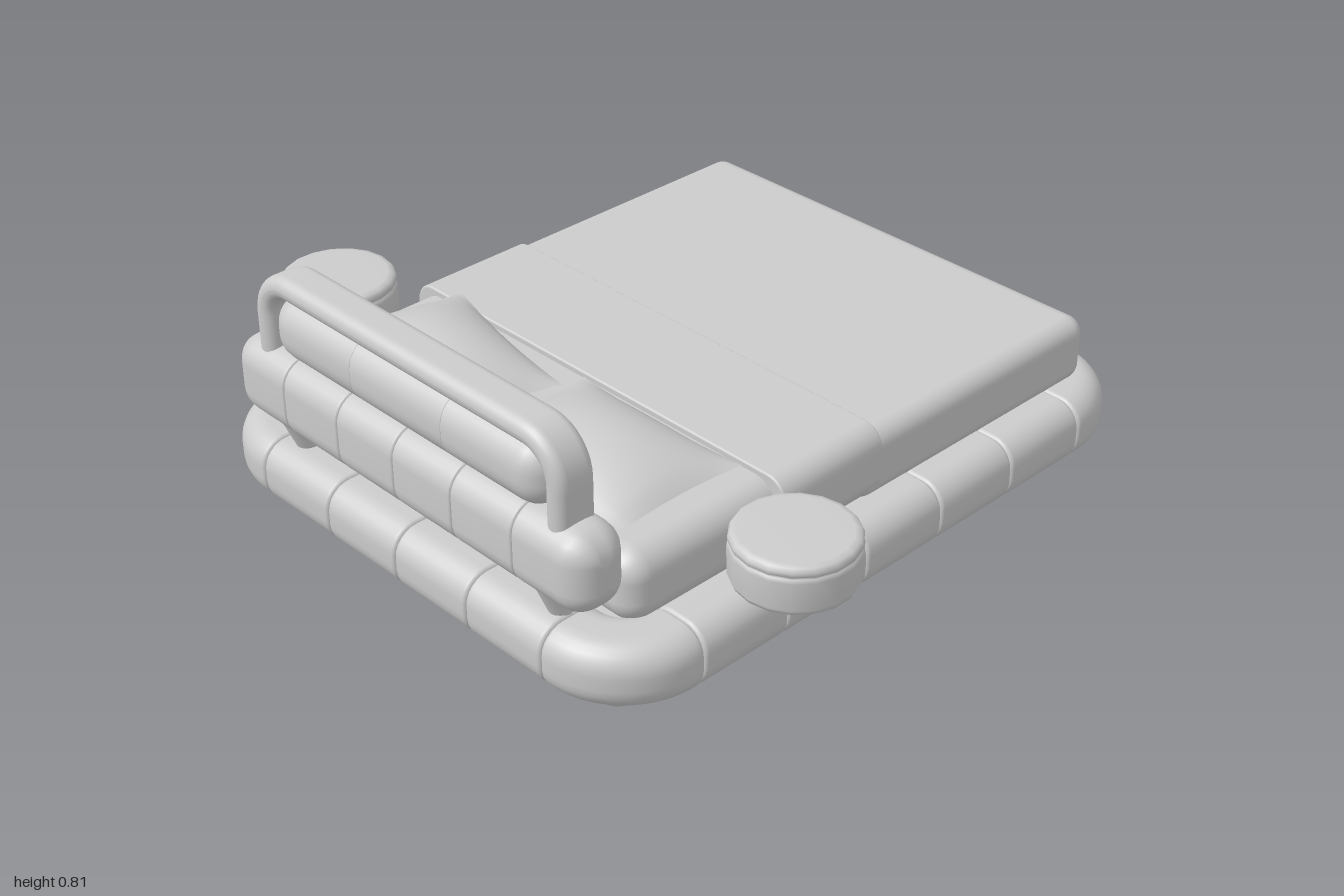
import * as THREE from 'three';
import { mergeGeometries } from 'three/addons/utils/BufferGeometryUtils.js';
import { RoundedBoxGeometry } from 'three/addons/geometries/RoundedBoxGeometry.js';

const V = (x, y, z) => new THREE.Vector3(x, y, z);
const UP = V(0, 1, 0), FORWARD = V(0, 0, 1);

// Points of a rounded rectangle, counter-clockwise
function roundedProfile(hw, hh, r) {
  const pts = [], n = 6;
  [[1, 1], [-1, 1], [-1, -1], [1, -1]].forEach(([sx, sy], q) => {
    for (let i = 0; i <= n; i++) {
      const a = (q + i / n) * Math.PI / 2;
      pts.push([sx * (hw - r) + r * Math.cos(a), sy * (hh - r) + r * Math.sin(a)]);
    }
  });
  return pts;
}

// Rounded section swept along a flat curve; both ends are rounded off by endA and endB
function paddedTube(curve, normal, hw, hh, r, endA, endB, steps = 2) {
  const len = curve.getLength(), rings = [], n = 6;
  for (let i = 0; i <= n; i++) {
    const a = i / n * Math.PI / 2;
    rings.push([endA * (1 - Math.cos(a)), endA * (1 - Math.sin(a))]);
  }
  for (let i = 1; i < steps; i++) rings.push([endA + (len - endA - endB) * i / steps, 0]);
  for (let i = n; i >= 0; i--) {
    const a = i / n * Math.PI / 2;
    rings.push([len - endB * (1 - Math.cos(a)), endB * (1 - Math.sin(a))]);
  }
  const pos = [], idx = [];
  let m = 0;
  for (const [d, inset] of rings) {
    const t = d / len, p = curve.getPoint(t), side = V().crossVectors(normal, curve.getTangent(t)).normalize();
    const prof = roundedProfile(hw - inset, hh - inset, Math.max(r - inset, 0.002));
    m = prof.length;
    for (const [a, b] of prof) pos.push(...p.clone().addScaledVector(side, a).addScaledVector(normal, b).toArray());
  }
  for (let i = 0; i < rings.length - 1; i++) for (let j = 0; j < m; j++) {
    const a = i * m + j, b = i * m + (j + 1) % m;
    idx.push(a, b, a + m, b, b + m, a + m);
  }
  const last = (rings.length - 1) * m, c0 = pos.length / 3;
  pos.push(...curve.getPoint(0).toArray(), ...curve.getPoint(1).toArray());
  for (let j = 0; j < m; j++) {
    const k = (j + 1) % m;
    idx.push(c0, k, j, c0 + 1, last + j, last + k);
  }
  const g = new THREE.BufferGeometry();
  g.setAttribute('position', new THREE.Float32BufferAttribute(pos, 3));
  g.setIndex(idx);
  g.computeVertexNormals();
  return g;
}

// Straight lines joined by rounded corners
function bentPath(pts, radius) {
  const path = new THREE.CurvePath();
  let from = pts[0];
  for (let i = 1; i < pts.length - 1; i++) {
    const p = pts[i];
    const a = p.clone().add(pts[i - 1].clone().sub(p).setLength(radius));
    const b = p.clone().add(pts[i + 1].clone().sub(p).setLength(radius));
    const k = 0.55;
    path.add(new THREE.LineCurve3(from, a));
    path.add(new THREE.CubicBezierCurve3(a, a.clone().lerp(p, k), b.clone().lerp(p, k), b));
    from = b;
  }
  path.add(new THREE.LineCurve3(from, pts[pts.length - 1]));
  return path;
}

// Soft pillow over four plan corners [x, z]: back-left, back-right, front-left, front-right
function pillowGeometry(c, y, top, bottom) {
  const sheets = [1, -1].map((s) => {
    const g = new THREE.PlaneGeometry(2, 2, 20, 20).rotateX(-s * Math.PI / 2);
    const p = g.attributes.position;
    for (let i = 0; i < p.count; i++) {
      const u0 = p.getX(i), v0 = p.getZ(i);
      const puff = Math.pow(Math.max(0, (1 - u0 * u0) * (1 - v0 * v0)), 0.75);
      const u = (u0 * (1 - 0.05 * (1 - v0 * v0)) + 1) / 2, v = (v0 * (1 - 0.07 * (1 - u0 * u0)) + 1) / 2;
      const mix = (k) => (c[0][k] * (1 - u) + c[1][k] * u) * (1 - v) + (c[2][k] * (1 - u) + c[3][k] * u) * v;
      p.setXYZ(i, mix(0), y + (s > 0 ? top : -bottom) * puff, mix(1));
    }
    g.computeVertexNormals();
    return g;
  });
  return mergeGeometries(sheets);
}

export function createModel() {
  const group = new THREE.Group();
  const mat = new THREE.MeshStandardMaterial({ color: 0xcccccc });
  const add = (name, geo, x = 0, y = 0, z = 0) => {
    const mesh = new THREE.Mesh(geo, mat);
    mesh.name = name;
    mesh.position.set(x, y, z);
    group.add(mesh);
    return mesh;
  };
  const line = (a, b) => new THREE.LineCurve3(a, b);
  const rod = (name, a, b, r) => add(name, new THREE.TubeGeometry(line(a, b), 1, r, 16));

  // Padded bed frame: four corner cushions and straight rows between them
  const cx = -0.017, fy = 0.213, X = 0.708, Z = 0.862, sx = 0.535, sz = 0.688;
  const HW = 0.095, HH = 0.088, R = 0.07, SEAM = 0.012;
  const frame = (name, curve, steps) => add(name, paddedTube(curve, UP, HW, HH, R, SEAM, SEAM, steps));
  for (const s of [1, -1]) {
    for (const q of [1, -1]) {
      frame('frameCorner', bentPath([V(cx + s * X, fy, q * sz), V(cx + s * X, fy, q * Z), V(cx + s * sx, fy, q * Z)], 0.155), 20);
    }
    for (let i = 0; i < 4; i++) {
      const x = cx - sx + i * sx / 2;
      frame('frameEndCushion', line(V(x, fy, s * Z), V(x + sx / 2, fy, s * Z)));
    }
    for (let i = 0; i < 5; i++) {
      const w = 2 * sz / 5, z = -sz + i * w;
      frame('frameSideCushion', line(V(cx + s * X, fy, z), V(cx + s * X, fy, z + w)));
    }
  }
  add('basePanel', new THREE.BoxGeometry(1.36, 0.12, 1.66), cx, 0.205, 0);

  // Ball feet
  for (const x of [-0.572, 0.547]) for (const z of [0.743, -0.736]) {
    add('foot', new THREE.SphereGeometry(0.069, 24, 16), x, 0.069, z);
  }

  // Mattress and bedding
  add('mattress', new RoundedBoxGeometry(1.32, 0.2, 1.6, 5, 0.07), -0.008, 0.368, -0.005);
  add('duvet', new RoundedBoxGeometry(1.37, 0.19, 0.9, 5, 0.05), -0.007, 0.375, -0.392);
  add('duvetFold', paddedTube(line(V(-0.007, 0.385, -0.022), V(-0.007, 0.385, 0.325)), UP, 0.688, 0.1, 0.06, 0.006, 0.006));

  // Pillows
  add('pillowRight', pillowGeometry([[-0.55, 0.29], [-0.01, 0.41], [-0.64, 0.67], [-0.08, 0.775]], 0.49, 0.078, 0.04));
  add('pillowLeft', pillowGeometry([[0, 0.345], [0.558, 0.345], [0, 0.74], [0.558, 0.74]], 0.49, 0.075, 0.04));

  // Row of cushions along x with fully rounded outer ends
  const row = (name, xs, y, z, hw, hh, r, seam, end) => {
    for (let i = 0; i < xs.length - 1; i++) {
      add(name, paddedTube(line(V(xs[i], y, z), V(xs[i + 1], y, z)), UP, hw, hh, r,
        i === 0 ? end : seam, i === xs.length - 2 ? end : seam));
    }
  };
  row('headboardCushion', [-0.66, -0.43, -0.215, 0, 0.215, 0.43, 0.66], 0.482, 0.87, 0.085, 0.109, 0.07, 0.008, 0.08);
  row('headrestCushion', [-0.5, -0.17, 0.17, 0.5], 0.668, 0.856, 0.079, 0.09, 0.076, 0.002, 0.072);

  // Rail looping over the headrest
  const rail = bentPath([V(-0.54, 0.55, 0.869), V(-0.54, 0.782, 0.869), V(0.54, 0.782, 0.869), V(0.54, 0.55, 0.869)], 0.1);
  add('headboardRail', paddedTube(rail, FORWARD, 0.031, 0.058, 0.03, 0.005, 0.005, 90));

  // Slanted headboard supports
  for (const s of [1, -1]) {
    rod('headboardSupport', V(s * 0.485, 0.27, 0.845), V(s * 0.485, 0.41, 0.905), 0.03);
  }

  // Round side tables on angled brackets
  const tableProfile = [[0, 0.37], [0.135, 0.37], [0.15, 0.376], [0.157, 0.39], [0.159, 0.465], [0.155, 0.475],
    [0.15, 0.477], [0.156, 0.481], [0.157, 0.492], [0.15, 0.502], [0.135, 0.506], [0, 0.506]].map(([x, y]) => new THREE.Vector2(x, y));
  for (const [s, z] of [[1, 0.458], [-1, 0.48]]) {
    add('sideTable', new THREE.LatheGeometry(tableProfile, 18), s * 0.841, 0, z);
    rod('tableBracket', V(s * 0.705, 0.26, z - 0.015), V(s * 0.765, 0.39, z - 0.015), 0.03);
  }
  return group;
}
